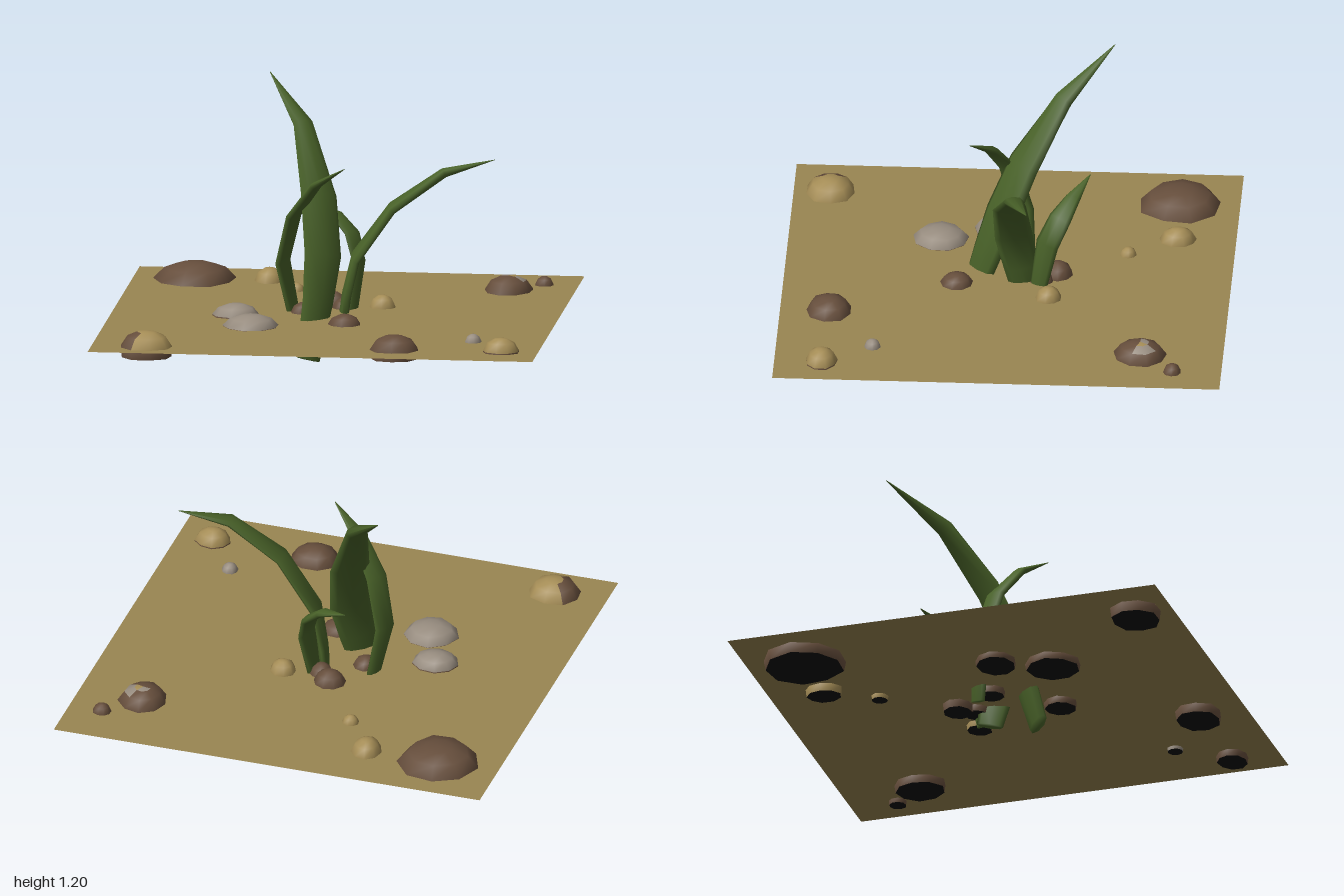
import * as THREE from 'three';

const mat = (name, color, side = THREE.FrontSide) => {
  const m = new THREE.MeshStandardMaterial({ color, side });
  m.name = name;
  return m;
};

// Seeded noise for the stone outlines
let seed = 7;
const rand = () => (seed = (seed * 16807) % 2147483647) / 2147483647;

// Geometry with one index group per material slot
function grouped(positions, buckets) {
  const g = new THREE.BufferGeometry();
  g.setAttribute('position', new THREE.Float32BufferAttribute(positions, 3));
  g.setIndex(buckets.flat());
  let start = 0;
  buckets.forEach((b, i) => {
    if (b.length) g.addGroup(start, b.length, i);
    start += b.length;
  });
  g.computeVertexNormals();
  return g;
}

// Low dome with a flat underside; paint(ring, segment) picks the material slot
function stoneGeometry({ rx, rz, bottom, top, paint }) {
  const n = 9, pos = [], buckets = [[], [], [], []];
  const levels = [[0, 0.95], [0.38, 1], [0.78, 0.74], [0.97, 0.34]];
  const jitter = Array.from({ length: n }, () => 0.94 + rand() * 0.1);
  const turn = rand() * 0.7;
  const ring = (h, r) => {
    for (let j = 0; j < n; j++) {
      const a = turn + (j / n) * Math.PI * 2;
      pos.push(Math.cos(a) * rx * r * jitter[j], bottom + (top - bottom) * h, Math.sin(a) * rz * r * jitter[j]);
    }
  };
  levels.forEach(([h, r]) => ring(h, r));
  const apex = pos.length / 3;
  pos.push(0, top, 0);
  const base = apex + 1;
  ring(0, 0.95);
  pos.push(0, bottom, 0);
  for (let j = 0; j < n; j++) {
    const k = (j + 1) % n;
    const mid = turn + ((j + 0.5) / n) * Math.PI * 2;
    for (let i = 0; i < 3; i++) {
      const a = i * n + j, b = i * n + k;
      buckets[paint(i, mid)].push(a, a + n, b, b, a + n, b + n);
    }
    buckets[paint(3, mid)].push(3 * n + j, apex, 3 * n + k);
    buckets[3].push(base + n, base + j, base + k);
  }
  return grouped(pos, buckets);
}

// Curved blade of lens-shaped sections; rows are [x, y, z, half width]
function leafGeometry(rows, wx, wz, thick) {
  const n = 8, pos = [], index = [];
  const pts = rows.map(r => new THREE.Vector3(r[0], r[1], r[2]));
  rows.forEach((r, i) => {
    const t = pts[Math.min(i + 1, pts.length - 1)].clone().sub(pts[Math.max(i - 1, 0)]).normalize();
    const w = new THREE.Vector3(wx, 0, wz);
    w.addScaledVector(t, -w.dot(t)).normalize();
    const nrm = t.clone().cross(w);
    for (let j = 0; j < n; j++) {
      const a = (j / n) * Math.PI * 2;
      const p = pts[i].clone()
        .addScaledVector(w, Math.cos(a) * r[3])
        .addScaledVector(nrm, Math.sin(a) * Math.min(thick, r[3] * 0.6));
      pos.push(p.x, p.y, p.z);
    }
  });
  for (let i = 0; i < rows.length - 1; i++) {
    for (let j = 0; j < n; j++) {
      const a = i * n + j, b = i * n + ((j + 1) % n);
      index.push(a, b, a + n, b, b + n, a + n);
    }
  }
  for (let j = 1; j < n - 1; j++) index.push(0, j + 1, j);
  return grouped(pos, [index]);
}

export function createModel() {
  const model = new THREE.Group();
  model.name = 'plantOnSand';
  const sand = mat('sand', 0x9a8652, THREE.DoubleSide);
  const green = mat('leafGreen', 0x486128);
  const brown = mat('brownStone', 0x664e3c);
  const grey = mat('greyStone', 0x978c7f);
  const tan = mat('tanStone', 0xa58d56);
  const dark = mat('stoneUnderside', 0x0c0a09);
  const add = (name, geometry, material) => {
    const m = new THREE.Mesh(geometry, material);
    m.name = name;
    model.add(m);
    return m;
  };

  // Ground sheet
  const ground = new THREE.PlaneGeometry(2, 2);
  ground.rotateX(-Math.PI / 2);
  add('ground', ground, sand).position.y = 0.175;

  // Leaves
  add('tallLeaf', leafGeometry([
    [-0.105, 0, 0.175, 0.065], [-0.07, 0.25, 0.1, 0.085], [-0.055, 0.45, 0.035, 0.1],
    [-0.085, 0.7, -0.065, 0.095], [-0.175, 0.99, -0.24, 0.052], [-0.35, 1.18, -0.46, 0.002],
  ], 0.72, -0.69, 0.03), green);
  add('archingLeaf', leafGeometry([
    [0.015, 0.08, -0.09, 0.06], [0.04, 0.25, -0.06, 0.075], [0.085, 0.43, -0.03, 0.085],
    [0.25, 0.66, -0.02, 0.075], [0.48, 0.82, -0.05, 0.045], [0.7, 0.87, -0.12, 0.002],
  ], 0.2, 1, 0.022), green);
  add('leftLeaf', leafGeometry([
    [-0.19, 0.11, -0.08, 0.04], [-0.245, 0.4, -0.05, 0.06], [-0.19, 0.62, 0, 0.06],
    [-0.08, 0.775, 0.08, 0.042], [0.06, 0.87, 0.17, 0.002],
  ], 0.42, -0.88, 0.018), green);
  add('backLeaf', leafGeometry([
    [0.05, 0.11, -0.13, 0.038], [0.08, 0.39, -0.18, 0.055], [0.045, 0.5, -0.235, 0.055],
    [-0.03, 0.57, -0.29, 0.037], [-0.16, 0.62, -0.36, 0.002],
  ], 0.4, -0.9, 0.018), green);

  // Paint rules: slot 0 is the main colour, 1 and 2 are accents
  const plain = () => 0;
  const rim = ring => (ring === 0 ? 1 : 0);
  const leftSide = (ring, a) => (ring < 3 && Math.cos(a) < -0.6) || ring === 0 ? 1 : 0;
  const patches = (ring, a) => {
    if (ring < 2 || Math.sin(a) > 0.1) return 0;
    return Math.cos(a) > 0.3 && ring === 3 ? 2 : ring === 2 && Math.cos(a) < 0.5 ? 0 : 1;
  };

  // Stones: x, z, half width, half depth, bottom, top, colour, paint rule
  [
    [-0.72, -0.73, 0.185, 0.187, 0.13, 0.255, brown, plain],
    [-0.385, -0.74, 0.07, 0.083, 0.14, 0.235, tan, plain],
    [-0.24, -0.525, 0.038, 0.038, 0.155, 0.21, tan, plain],
    [0.7, -0.63, 0.11, 0.12, 0.14, 0.245, brown, patches],
    [0.845, -0.78, 0.042, 0.042, 0.155, 0.215, brown, plain],
    [-0.44, 0.08, 0.108, 0.093, 0.15, 0.23, grey, rim],
    [-0.345, 0.32, 0.125, 0.125, 0.145, 0.228, grey, rim],
    [0.065, 0.225, 0.076, 0.074, 0.145, 0.22, brown, plain],
    [0.35, 0.78, 0.113, 0.107, 0.135, 0.24, brown, plain],
    [0.683, 0.57, 0.037, 0.037, 0.16, 0.212, grey, plain],
    [0.833, 0.79, 0.084, 0.074, 0.145, 0.24, tan, rim],
    [-0.755, 0.835, 0.125, 0.115, 0.13, 0.245, tan, leftSide],
    [0.187, -0.19, 0.06, 0.06, 0.15, 0.23, tan, plain],
    [-0.04, -0.22, 0.075, 0.07, 0.14, 0.235, brown, plain],
    [0.02, -0.15, 0.055, 0.055, 0.145, 0.22, brown, plain],
    [-0.15, -0.03, 0.06, 0.06, 0.145, 0.22, brown, plain],
  ].forEach(([x, z, rx, rz, bottom, top, main, paint], i) => {
    const accents = main === brown ? [grey, tan] : [brown, brown];
    add('stone' + (i + 1), stoneGeometry({ rx, rz, bottom, top, paint }), [main, ...accents, dark])
      .position.set(x, 0, z);
  });
  return model;
}
